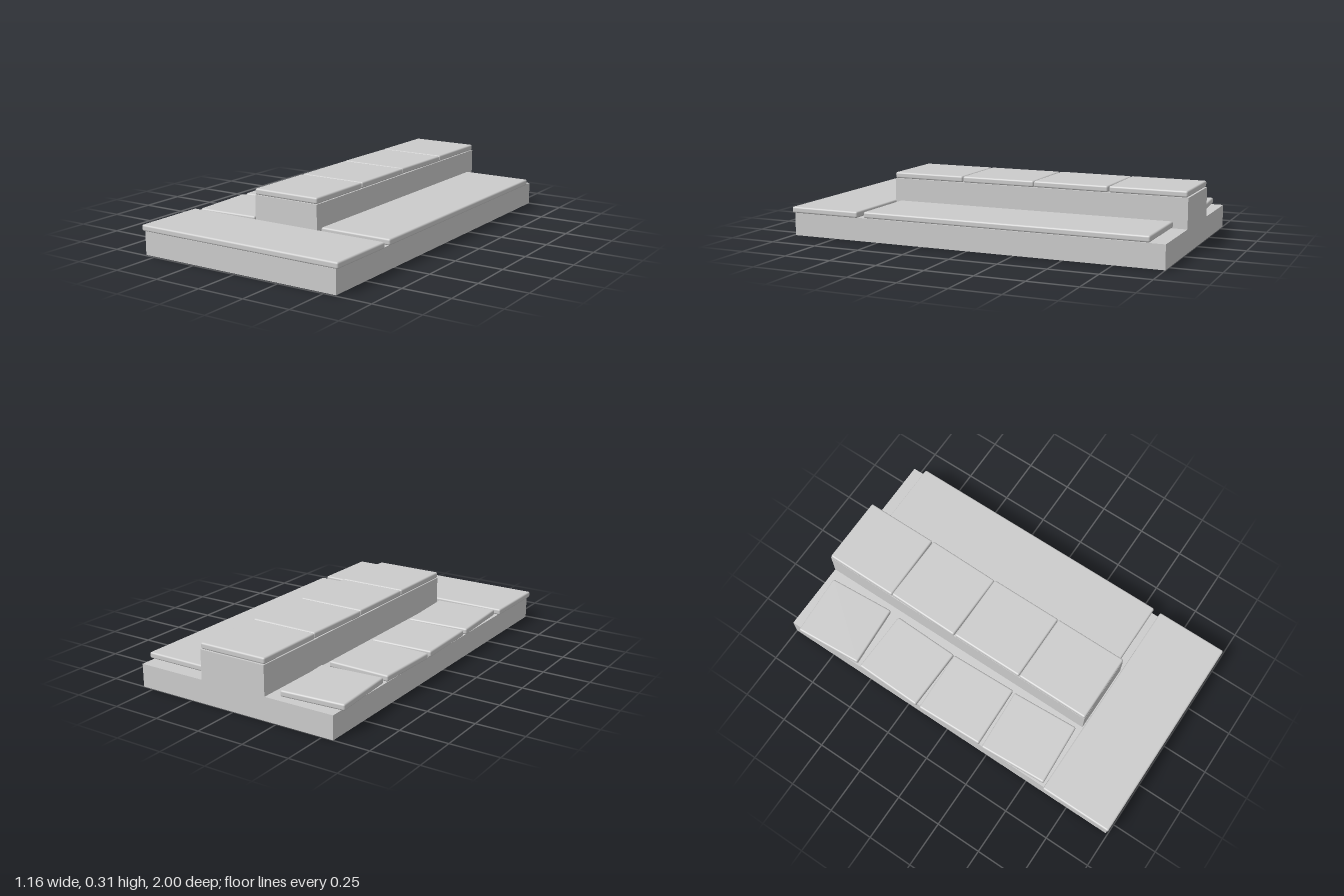
import * as THREE from 'three';
import { RoundedBoxGeometry } from 'three/addons/geometries/RoundedBoxGeometry.js';

const W = 0.56, R = 0.185;          // half widths of the base and the raised block
const DECK = 0.12, TOP = 0.273;     // heights of the deck and the raised block
const BACK = -1, STEP = 0.6, FRONT = 0.99;

export function createModel() {
  const group = new THREE.Group();
  const shell = new THREE.MeshStandardMaterial({ color: 0xcccccc, side: THREE.DoubleSide });
  const slabMaterial = new THREE.MeshStandardMaterial({ color: 0xcccccc });

  const add = (name, geometry, material) => {
    const mesh = new THREE.Mesh(geometry, material);
    mesh.name = name;
    group.add(mesh);
    return mesh;
  };
  const outline = (points) =>
    new THREE.ShapeGeometry(new THREE.Shape(points.map(([a, b]) => new THREE.Vector2(a, b))));

  // Vertical wall across x
  const crossWall = (name, half, y0, y1, z) =>
    add(name, new THREE.PlaneGeometry(2 * half, y1 - y0).translate(0, (y0 + y1) / 2, z), shell);

  // Pair of vertical walls along z, facing outwards
  const sideWalls = (name, x, y0, y1, z0, z1) => {
    for (const s of [-1, 1]) {
      const wall = new THREE.PlaneGeometry(z1 - z0, y1 - y0).rotateY(s * Math.PI / 2);
      add(name, wall.translate(s * x, (y0 + y1) / 2, (z0 + z1) / 2), shell);
    }
  };

  // Hollow base, open underneath
  crossWall('baseFrontWall', W, 0, DECK, FRONT);
  sideWalls('baseSideWall', W, 0, DECK, BACK, FRONT);
  add('backWall', outline([
    [-W, 0], [W, 0], [W, DECK], [R, DECK], [R, TOP], [-R, TOP], [-R, DECK], [-W, DECK],
  ]).rotateY(Math.PI).translate(0, 0, BACK), shell);

  // Deck with a slot under the raised block
  add('deck', outline([
    [-W, -FRONT], [W, -FRONT], [W, -BACK], [R, -BACK], [R, -STEP], [-R, -STEP], [-R, -BACK], [-W, -BACK],
  ]).rotateX(-Math.PI / 2).translate(0, DECK, 0), shell);

  // Hollow raised block
  crossWall('raisedFrontWall', R, DECK, TOP, STEP);
  sideWalls('raisedSideWall', R, DECK, TOP, BACK, STEP);
  add('raisedTop', new THREE.PlaneGeometry(2 * R, STEP - BACK)
    .rotateX(-Math.PI / 2).translate(0, TOP, (STEP + BACK) / 2), shell);

  // Thin slabs with rounded edges
  const slab = (name, w, d, x, y, z, turn = 0) => {
    const mesh = add(name, new RoundedBoxGeometry(w, 0.032, d, 3, 0.009), slabMaterial);
    mesh.position.set(x, y + 0.016, z);
    mesh.rotation.y = turn;
  };

  slab('frontSlab', 1.15, 0.39, 0, DECK + 0.001, 0.803);
  slab('longSlab', 0.388, 1.5, 0.382, DECK + 0.004, -0.18);

  // Row of square tiles on the raised block
  [0, -0.015, 0, 0].forEach((turn, i) =>
    slab('raisedTile', 0.372, 0.397, 0, TOP + 0.001, -0.798 + 0.4 * i, turn));

  // Loosely laid tiles: x, z, turn
  [[-0.4, -0.768, 0.068], [-0.4, -0.362, -0.028], [-0.4, 0.018, 0.03], [-0.39, 0.402, 0.055]]
    .forEach(([x, z, turn]) => slab('looseTile', 0.337, 0.367, x, DECK + 0.001, z, turn));

  return group;
}
